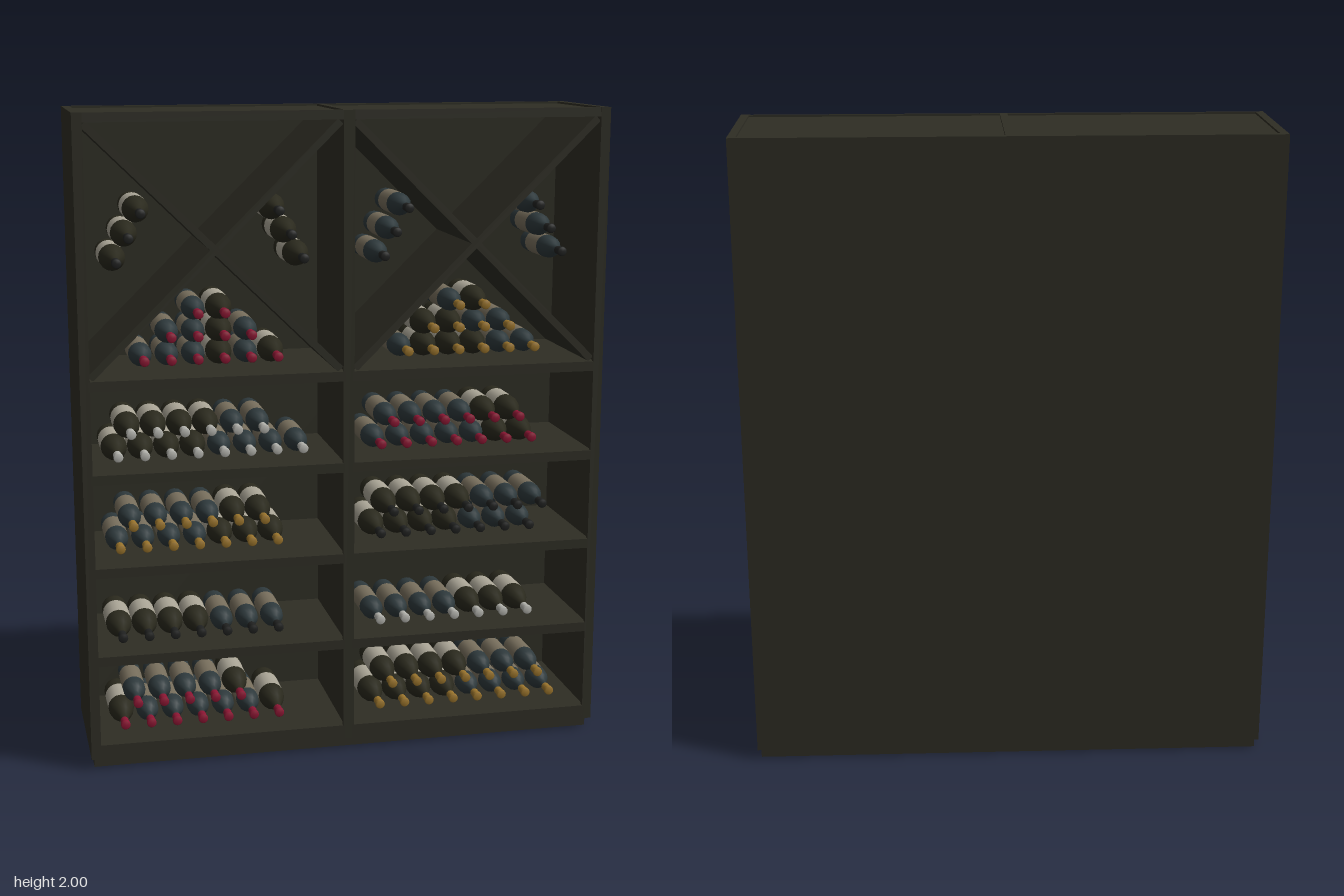
import * as THREE from 'three';

const mat = (name, color) => {
  const m = new THREE.MeshStandardMaterial({ color });
  m.name = name;
  return m;
};

export function createModel() {
  const root = new THREE.Group();
  root.name = 'wineCabinet';

  const wood = mat('darkWood', 0x2e2d24);
  const glass = { O: mat('oliveGlass', 0x2a291d), B: mat('blueGlass', 0x2e393c) };
  const paper = { O: mat('creamLabel', 0xaaa596), B: mat('tanLabel', 0x776e5c) };
  const caps = {
    red: mat('redCapsule', 0x8c1633),
    gold: mat('goldCapsule', 0x9a742c),
    white: mat('whiteCapsule', 0xb4b4ae),
    black: mat('blackCapsule', 0x202120),
  };

  // Box given by its limits on each axis
  const board = (name, x0, x1, y0, y1, z0, z1) => {
    const mesh = new THREE.Mesh(new THREE.BoxGeometry(x1 - x0, y1 - y0, z1 - z0), wood);
    mesh.position.set((x0 + x1) / 2, (y0 + y1) / 2, (z0 + z1) / 2);
    mesh.name = name;
    root.add(mesh);
  };

  // Carcass
  board('plinth', -0.8, 0.8, 0, 0.04, -0.2, 0.19);
  board('backPanel', -0.81, 0.81, 0.035, 2, -0.22, -0.2);
  board('rightSide', -0.81, -0.785, 0.035, 2, -0.2, 0.215);
  board('leftSide', 0.785, 0.81, 0.035, 2, -0.2, 0.215);
  board('centreDivider', -0.012, 0.012, 0.035, 2, -0.2, 0.215);

  // Shelves, bottom and top, with their front rails, and the crossed boards in each bay
  const shelves = [[0.035, 0.08], [0.335, 0.365], [0.615, 0.645], [0.905, 0.935], [1.19, 1.22]];
  for (const s of [-1, 1]) {
    const x0 = s < 0 ? -0.785 : 0.012;
    const x1 = s < 0 ? -0.012 : 0.785;
    for (const [y0, y1] of shelves) {
      board('shelf', x0, x1, y0, y1, -0.2, 0.205);
      board('shelfRail', x0, x1, y0, y1, 0.205, 0.218);
    }
    board('topPanel', x0, x1, 1.972, 1.994, -0.2, 0.205);
    board('topRail', x0, x1, 1.972, 2, 0.205, 0.215);
    board('outerStile', s < 0 ? -0.81 : 0.78, s < 0 ? -0.78 : 0.81, 0.035, 2, 0.205, 0.218);

    const w = 0.765, h = 0.752;
    for (const dir of [-1, 1]) {
      const cross = new THREE.Mesh(
        new THREE.BoxGeometry(Math.hypot(w, h) - 0.015, 0.022, 0.4), wood);
      cross.position.set(s * 0.4, 1.596, 0);
      cross.rotation.z = dir * Math.atan2(h, w);
      cross.name = 'crossBoard';
      root.add(cross);
    }
  }
  board('centreStile', -0.017, 0.017, 0.035, 2, 0.205, 0.218);

  // Bottle parts are turned around z, with the neck to the front
  const turn = (points) => new THREE.LatheGeometry(
    points.map(([r, z]) => new THREE.Vector2(r, z)), 16).rotateX(Math.PI / 2);
  const bodies = {
    O: turn([[0, -0.145], [0.032, -0.15], [0.039, -0.143], [0.04, -0.13], [0.04, 0.025], [0.036, 0.048],
      [0.026, 0.075], [0.017, 0.1], [0.0125, 0.122], [0.0115, 0.15]]),
    B: turn([[0, -0.145], [0.028, -0.15], [0.034, -0.143], [0.035, -0.13], [0.035, 0.04], [0.033, 0.058],
      [0.025, 0.076], [0.015, 0.092], [0.0115, 0.105], [0.0115, 0.15]]),
  };
  const labels = {
    O: turn([[0.0405, -0.09], [0.0405, 0.01]]),
    B: turn([[0.0355, -0.09], [0.0355, 0.02]]),
  };
  const capsule = turn([[0.0128, 0.128], [0.0128, 0.158], [0.0148, 0.159],
    [0.0148, 0.167], [0.012, 0.171], [0, 0.171]]);

  const bottle = (type, cap, x, y) => {
    const g = new THREE.Group();
    g.name = 'bottle';
    const add = (name, geo, material) => {
      const m = new THREE.Mesh(geo, material);
      m.name = name;
      g.add(m);
    };
    add('glassBody', bodies[type], glass[type]);
    add('label', labels[type], paper[type]);
    add('capsule', capsule, caps[cap]);
    g.position.set(x, y, 0);
    root.add(g);
  };

  // Rows of bottles: first x, height, capsule, bottle type of each
  const rows = [
    [-0.698, 0.12, 'red', 'OBBBBBO'], [-0.657, 0.187, 'red', 'BBBBO'],
    [0.116, 0.12, 'gold', 'OOOOBBBB'], [0.157, 0.187, 'gold', 'OOOOBBB'],
    [-0.698, 0.404, 'black', 'OOOOBBB'], [0.116, 0.404, 'white', 'BBBBOOO'],
    [-0.698, 0.688, 'gold', 'BBBBOOO'], [-0.657, 0.756, 'gold', 'BBBBOO'],
    [0.116, 0.688, 'black', 'OOOOBBB'], [0.157, 0.756, 'black', 'OOOOBBB'],
    [-0.698, 0.975, 'white', 'OOOOBBBB'], [-0.657, 1.043, 'white', 'OOOOBB'],
    [0.116, 0.975, 'red', 'BBBBBOO'], [0.157, 1.043, 'red', 'BBBBOO'],
    [-0.612, 1.264, 'red', 'BBBOBO'], [-0.53, 1.333, 'red', 'BBOB'], [-0.448, 1.402, 'red', 'BO'],
    [0.2, 1.264, 'gold', 'BOOOBB'], [0.281, 1.333, 'gold', 'OOBB'], [0.362, 1.402, 'gold', 'BO'],
  ];
  for (const [x, y, cap, types] of rows) {
    [...types].forEach((type, i) => bottle(type, cap, x + i * 0.081, y));
  }

  // Slanted threes in the side pockets of the crossed bays
  for (const [centre, type] of [[-0.407, 'O'], [0.404, 'B']]) {
    for (const s of [-1, 1]) {
      for (let i = 0; i < 3; i++) {
        bottle(type, 'black', centre + s * (0.207 + i * 0.037), 1.704 - i * 0.072);
      }
    }
  }
  return root;
}
